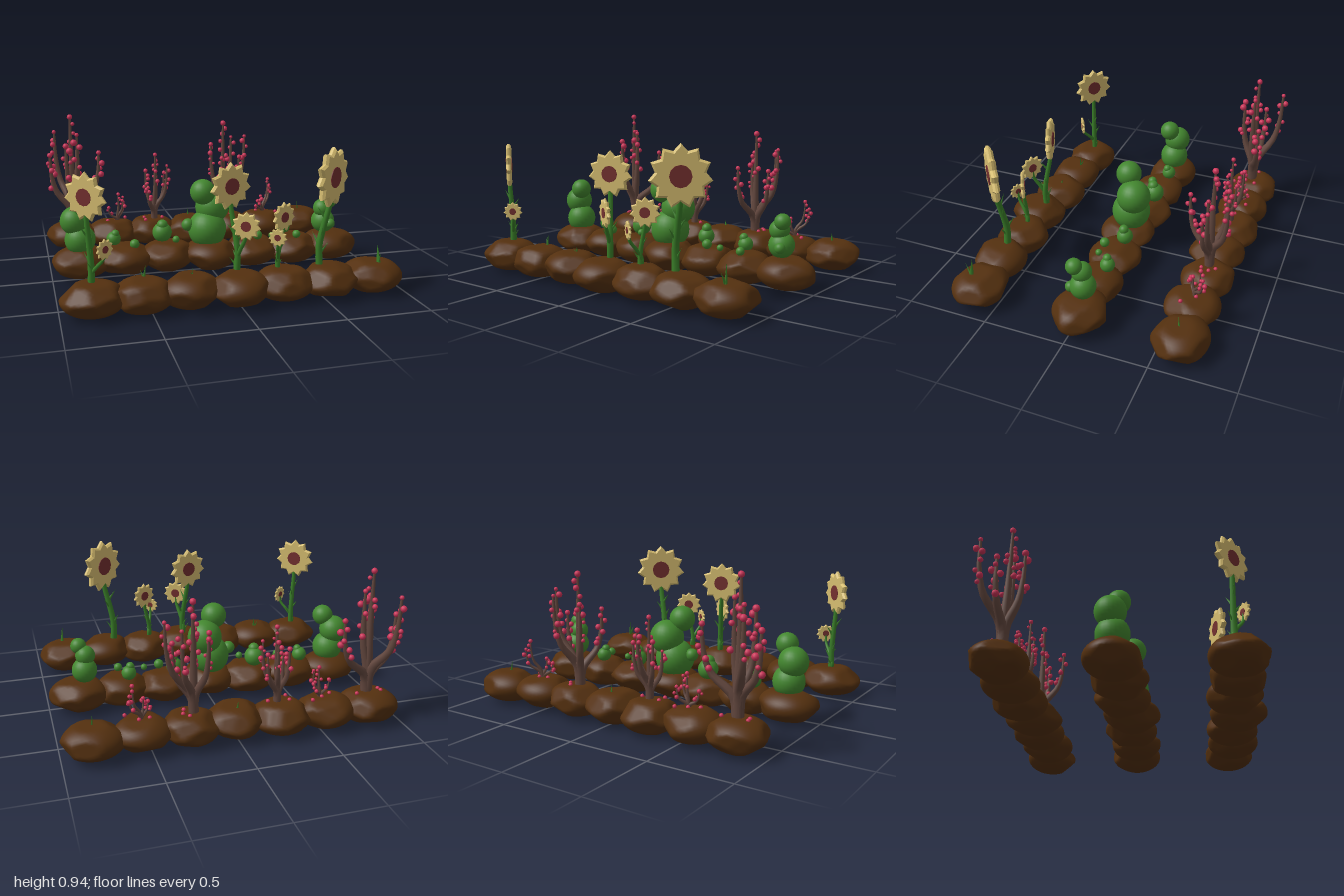
import * as THREE from 'three';
import { mergeVertices } from 'three/addons/utils/BufferGeometryUtils.js';

const material = (name, color) => {
  const m = new THREE.MeshStandardMaterial({ color });
  m.name = name;
  return m;
};
const V = (x, y, z) => new THREE.Vector3(x, y, z);

export function createModel() {
  const model = new THREE.Group();
  model.name = 'gardenBeds';

  const soil = material('soil brown', 0x54300f);
  const leafGreen = material('bush green', 0x43872f);
  const stemGreen = material('stem green', 0x397d28);
  const bark = material('bark', 0x64483f);
  const pink = material('blossom pink', 0xcb3358);
  const petal = material('petal yellow', 0xd6bd70);
  const seedRed = material('flower centre', 0x74302f);

  let seed = 7;
  const rand = (a = 0, b = 1) => {
    seed = (seed * 16807) % 2147483647;
    return a + (b - a) * (seed / 2147483647);
  };
  const add = (parent, name, geometry, mat, pos) => {
    const mesh = new THREE.Mesh(geometry, mat);
    mesh.name = name;
    if (pos) mesh.position.copy(pos);
    parent.add(mesh);
    return mesh;
  };
  const group = (parent, name) => {
    const g = new THREE.Group();
    g.name = name;
    parent.add(g);
    return g;
  };

  // Tube narrowing from radius r0 to r1
  const taperedTube = (curve, r0, r1, n = 14, sides = 7) => {
    const geo = new THREE.TubeGeometry(curve, n, 1, sides);
    const pos = geo.attributes.position;
    const p = V(0, 0, 0);
    for (let i = 0; i <= n; i++) {
      const c = curve.getPointAt(i / n);
      const r = r0 + (r1 - r0) * (i / n);
      for (let j = 0; j <= sides; j++) {
        const k = i * (sides + 1) + j;
        p.fromBufferAttribute(pos, k).sub(c).multiplyScalar(r).add(c);
        pos.setXYZ(k, p.x, p.y, p.z);
      }
    }
    return geo;
  };

  // Soil lump: a ball cut by a few random planes
  const lumpGeometry = () => {
    let geo = new THREE.IcosahedronGeometry(1, 7);
    geo.deleteAttribute('normal');
    geo.deleteAttribute('uv');
    geo = mergeVertices(geo);
    const planes = [V(0.05, 1, 0.05)];
    for (let i = 0; i < 12; i++) planes.push(V(rand(-1, 1), rand(-0.7, 0.7), rand(-1, 1)).normalize());
    const pos = geo.attributes.position;
    const p = V(0, 0, 0);
    for (let i = 0; i < pos.count; i++) {
      p.fromBufferAttribute(pos, i).normalize();
      let r = 1;
      for (const n of planes) r = Math.min(r, 0.88 / Math.max(0.01, p.dot(n)));
      p.multiplyScalar(r);
      pos.setXYZ(i, p.x, p.y, p.z);
    }
    geo.computeVertexNormals();
    return geo;
  };

  // Three beds of seven lumps
  const drift = [-0.02, -0.01, -0.015, 0.02, 0, 0.015, 0];
  [['frontBed', 0.62], ['middleBed', -0.025], ['backBed', -0.625]].forEach(([name, z]) => {
    const bed = group(model, name);
    drift.forEach((dz, i) => {
      const lump = add(bed, 'soilLump', lumpGeometry(), soil, V((i - 3) * 0.272, 0.1, z + dz));
      lump.scale.set(i % 6 ? 0.178 : 0.184, 0.1, i === 3 ? 0.175 : 0.165);
    });
  });

  // Bushes of stacked balls: x, y, z, radius
  const ball = new THREE.SphereGeometry(1, 24, 16);
  const bushes = [
    [[-0.82, 0.24, -0.05, 0.095], [-0.85, 0.36, -0.06, 0.088], [-0.79, 0.45, -0.02, 0.065]],
    [[-0.61, 0.22, -0.08, 0.045], [-0.6, 0.255, -0.07, 0.025], [-0.49, 0.2, 0, 0.03]],
    [[-0.3, 0.24, -0.08, 0.062], [-0.3, 0.29, -0.07, 0.035], [-0.23, 0.215, 0.015, 0.022]],
    [[-0.02, 0.26, -0.02, 0.122], [0.02, 0.395, -0.05, 0.107], [-0.055, 0.51, 0.01, 0.08], [-0.145, 0.295, -0.02, 0.04]],
    [[0.225, 0.235, -0.07, 0.05], [0.23, 0.285, -0.065, 0.03], [0.3, 0.21, 0.035, 0.03]],
    [[0.51, 0.22, -0.07, 0.045], [0.5, 0.26, -0.065, 0.026], [0.395, 0.2, 0.035, 0.02], [0.555, 0.205, 0.065, 0.026]],
    [[0.775, 0.255, -0.03, 0.077], [0.765, 0.345, -0.02, 0.06], [0.8, 0.4, 0.01, 0.048], [0.8, 0.25, 0.035, 0.032]],
  ];
  bushes.forEach((balls) => {
    const bush = group(model, 'bush');
    balls.forEach(([x, y, z, r]) => add(bush, 'bushBall', ball, leafGreen, V(x, y, z)).scale.setScalar(r));
  });

  // Blossom trees: base, trunk radius, blossom radius, blossoms per branch, branch tips
  const berry = new THREE.SphereGeometry(1, 12, 8);
  const trees = [
    [V(-0.81, 0.17, -0.63), 0.034, 0.019, 7, [[-0.81, 0.92, -0.62], [-0.91, 0.8, -0.77], [-0.85, 0.74, -0.53], [-0.62, 0.66, -0.68], [-0.95, 0.66, -0.66], [-0.77, 0.8, -0.61]]],
    [V(-0.51, 0.17, -0.63), 0.013, 0.012, 4, [[-0.5, 0.37, -0.63], [-0.57, 0.28, -0.62], [-0.46, 0.3, -0.67], [-0.47, 0.35, -0.62]]],
    [V(-0.25, 0.17, -0.62), 0.023, 0.013, 6, [[-0.24, 0.64, -0.61], [-0.3, 0.52, -0.66], [-0.17, 0.5, -0.66], [-0.16, 0.56, -0.6], [-0.3, 0.45, -0.57], [-0.22, 0.58, -0.69]]],
    [V(0.25, 0.17, -0.62), 0.03, 0.016, 7, [[0.25, 0.84, -0.62], [0.2, 0.62, -0.47], [0.34, 0.72, -0.73], [0.41, 0.74, -0.63], [0.18, 0.68, -0.69], [0.36, 0.6, -0.59]]],
    [V(0.55, 0.17, -0.62), 0.013, 0.012, 4, [[0.6, 0.41, -0.66], [0.53, 0.3, -0.6], [0.5, 0.27, -0.58], [0.62, 0.36, -0.68]]],
  ];
  trees.forEach(([base, trunk, size, count, tips]) => {
    const tree = group(model, 'blossomTree');
    tips.forEach((tip) => {
      const d = V(...tip).sub(base);
      const at = (h, v) => base.clone().add(V(d.x * h, d.y * v, d.z * h));
      const curve = new THREE.CatmullRomCurve3([base, at(0.12, 0.25), at(0.75, 0.48), at(0.95, 0.7), at(1, 1)]);
      add(tree, 'branch', taperedTube(curve, trunk, trunk * 0.22), bark);
      for (let i = 0; i < count; i++) {
        const t = 1 - (i / count) * 0.48;
        const off = i ? V(rand(-1, 1), rand(-0.4, 0.4), rand(-1, 1)).normalize().multiplyScalar(size * 1.3) : V(0, 0, 0);
        add(tree, 'blossom', berry, pink, curve.getPointAt(t).add(off)).scale.setScalar(size * rand(0.65, 1.2));
      }
    });
    // Fallen blossoms
    for (let i = 0; i < 3; i++) {
      const p = V(base.x + rand(-0.08, 0.08), 0.19, base.z + rand(-0.06, 0.06));
      add(tree, 'fallenBlossom', berry, pink, p).scale.setScalar(0.012);
    }
  });

  // Pointed leaf leaning outward at an angle around the stem
  const leaf = (parent, pos, angle, length, lean = 0.6) => {
    const geo = new THREE.ConeGeometry(0.13, 1, 6).translate(0, 0.5, 0);
    const mesh = add(parent, 'leaf', geo, stemGreen, pos);
    mesh.scale.set(length, length, length * 0.6);
    mesh.rotation.set(0, angle, -lean, 'YXZ');
  };

  // Flower head facing both ways
  const flowerHead = (parent, pos, r, nx, nz) => {
    const head = group(parent, 'flowerHead');
    head.position.copy(pos);
    head.rotation.y = Math.atan2(nx, nz);
    const points = [];
    for (let i = 0; i < 22; i++) {
      const a = (i / 22) * Math.PI * 2 + Math.PI / 2;
      const k = r * (i % 2 ? 0.72 : 0.92);
      points.push(new THREE.Vector2(Math.cos(a) * k, Math.sin(a) * k));
    }
    const petals = new THREE.ExtrudeGeometry(new THREE.Shape(points), {
      depth: r * 0.08, bevelEnabled: true, bevelThickness: r * 0.08, bevelSize: r * 0.07, bevelSegments: 1,
    }).translate(0, 0, -r * 0.04);
    add(head, 'petals', petals, petal);
    add(head, 'flowerCentre', new THREE.CylinderGeometry(r * 0.36, r * 0.36, r * 0.29, 12).rotateX(Math.PI / 2), seedRed);
  };

  // Sunflowers: base x, z, head x, y, z, head radius, facing x, z
  const flowers = [
    [-0.82, 0.58, -0.835, 0.665, 0.585, 0.132, -0.67, 0.74],
    [-0.82, 0.58, -0.75, 0.385, 0.64, 0.058, 0.55, 0.83],
    [0, 0.58, -0.028, 0.665, 0.54, 0.132, 0.31, 0.95],
    [0, 0.58, 0.03, 0.46, 0.655, 0.082, -0.5, 0.87],
    [0.24, 0.6, 0.27, 0.48, 0.595, 0.085, 0.45, 0.89],
    [0.24, 0.6, 0.21, 0.385, 0.67, 0.053, -0.55, 0.83],
    [0.49, 0.61, 0.54, 0.705, 0.637, 0.168, 0.63, 0.77],
  ];
  flowers.forEach(([bx, bz, x, y, z, r, nx, nz], i) => {
    const plant = group(model, 'sunflower');
    const at = (h, v) => V(bx + (x - bx) * h, 0.16 + (y - 0.16) * v, bz + (z - bz) * h);
    const curve = new THREE.CatmullRomCurve3([at(0, 0), at(-0.1, 0.25), at(0.35, 0.5), at(0.9, 0.75), at(1, 1)]);
    const thick = 0.008 + r * 0.09;
    add(plant, 'stem', taperedTube(curve, thick, thick * 0.6, 16, 8), stemGreen);
    flowerHead(plant, V(x, y, z), r, nx, nz);
    const leaves = r > 0.1 ? 5 : 2;
    for (let k = 0; k < leaves; k++) {
      leaf(plant, curve.getPointAt(0.15 + (k / leaves) * 0.5), k * 2.4 + i, 0.05 + r * 0.25);
    }
  });

  // Sprouts: x, z, height
  [[-0.53, 0.565, 0.08], [-0.26, 0.59, 0.05], [0.84, 0.66, 0.12], [0, -0.645, 0.06], [0.82, -0.615, 0.07]].forEach(([x, z, h], i) => {
    const sprout = group(model, 'sprout');
    leaf(sprout, V(x, 0.175, z), i, h, 0.12);
    if (i < 3) leaf(sprout, V(x, 0.175, z), i + 2.5, h * 0.7, 0.45);
  });

  return model;
}
